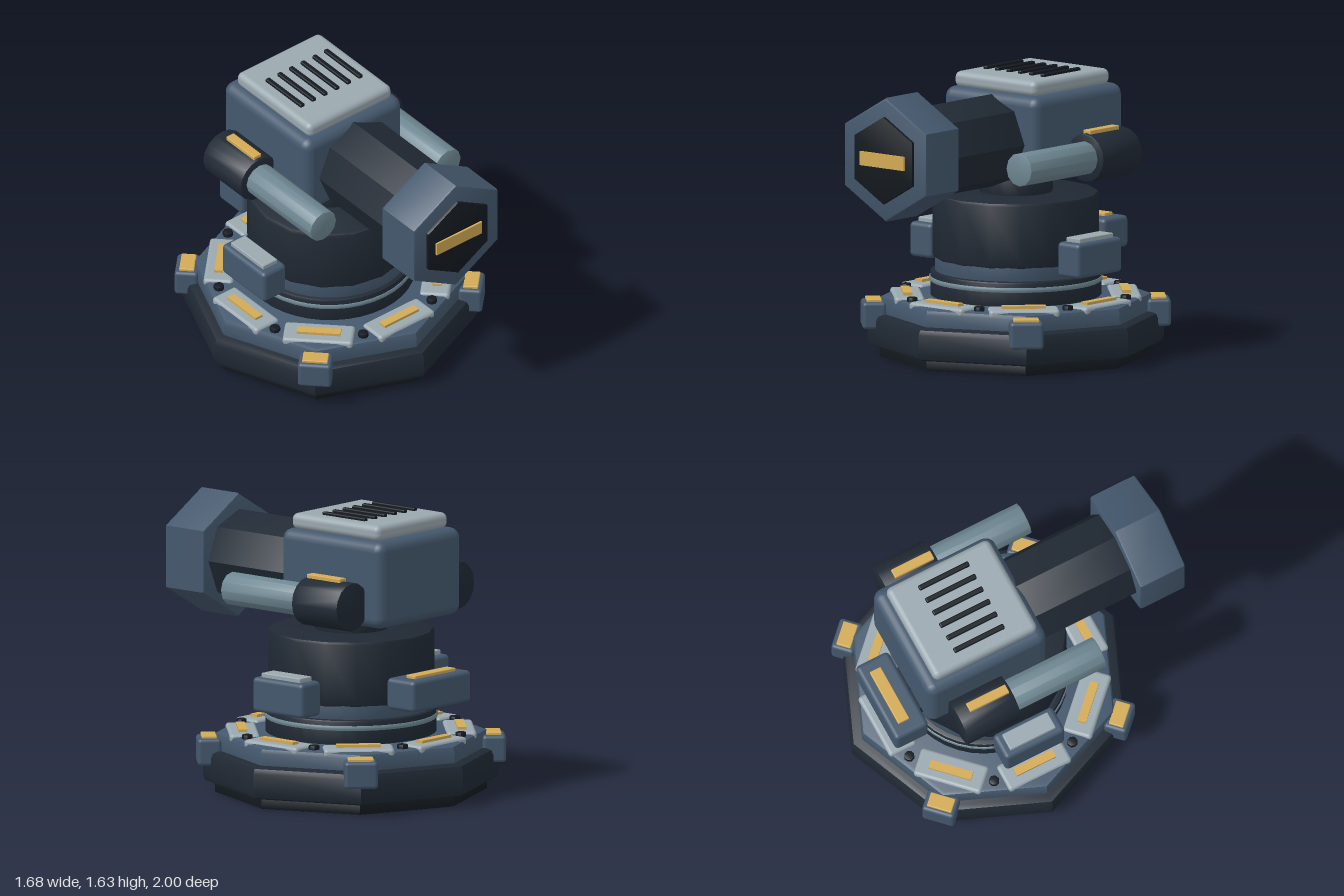
import * as THREE from 'three';
import { toCreasedNormals } from 'three/addons/utils/BufferGeometryUtils.js';
import { RoundedBoxGeometry } from 'three/addons/geometries/RoundedBoxGeometry.js';

const paint = (color) => new THREE.MeshStandardMaterial({ color });
const dark = paint(0x202934);
const black = paint(0x141a20);
const blue = paint(0x44586d);
const steel = paint(0x6e8792);
const pale = paint(0x9aa8af);
const gold = paint(0xd2aa55);

function add(parent, name, geometry, material, x = 0, y = 0, z = 0) {
  const mesh = new THREE.Mesh(geometry, material);
  mesh.name = name;
  mesh.position.set(x, y, z);
  parent.add(mesh);
  return mesh;
}

// Upright prism from y0 to y1 with softened rims; a corner points along +z
function prism(r, y0, y1, bevel, sides) {
  const k = bevel * 0.29;
  const profile = [
    [0, y0], [r - bevel, y0], [r - k, y0 + k], [r, y0 + bevel],
    [r, y1 - bevel], [r - k, y1 - k], [r - bevel, y1], [0, y1],
  ].map(([x, y]) => new THREE.Vector2(x, y));
  return toCreasedNormals(new THREE.LatheGeometry(profile, sides), 0.62);
}

// The same prism lying along z
const lying = (r, z0, z1, bevel, sides) => prism(r, z0, z1, bevel, sides).rotateX(Math.PI / 2);

const box = (w, h, d, r) => new RoundedBoxGeometry(w, h, d, 3, r);

function makeBase() {
  const base = new THREE.Group();
  base.name = 'base';
  add(base, 'foot', prism(0.77, 0, 0.08, 0.005, 8), black);
  add(base, 'skirt', prism(0.84, 0.06, 0.25, 0.04, 8), dark);
  add(base, 'deck', prism(0.775, 0.2, 0.35, 0.03, 8), blue);

  // Deck plates with inlays, and bolts between them
  for (let i = 0; i < 8; i++) {
    const sector = new THREE.Group();
    sector.name = 'deckSector';
    sector.rotation.y = (i * Math.PI) / 4;
    add(sector, 'deckPlate', box(0.4, 0.05, 0.17, 0.02), pale, 0, 0.34, 0.615);
    add(sector, 'plateInlay', new THREE.BoxGeometry(0.25, 0.025, 0.05), gold, 0, 0.368, 0.62);
    const a = Math.PI / 8;
    add(sector, 'bolt', prism(0.03, 0.34, 0.375, 0.004, 8), black, Math.sin(a) * 0.655, 0, Math.cos(a) * 0.655);
    base.add(sector);
  }

  // Clamps on the diagonal corners
  for (let i = 0; i < 4; i++) {
    const clamp = new THREE.Group();
    clamp.name = 'cornerClamp';
    clamp.rotation.y = Math.PI / 4 + (i * Math.PI) / 2;
    add(clamp, 'clampBody', box(0.19, 0.155, 0.135, 0.02), blue, 0, 0.243, 0.807);
    add(clamp, 'clampInlay', box(0.145, 0.025, 0.085, 0.005), gold, 0, 0.323, 0.807);
    base.add(clamp);
  }
  return base;
}

function makeTurntable() {
  const table = new THREE.Group();
  table.name = 'turntable';
  add(table, 'lowerRing', prism(0.485, 0.34, 0.49, 0.012, 40), dark);
  add(table, 'bearingRing', prism(0.492, 0.428, 0.46, 0.012, 40), steel);
  add(table, 'collar', prism(0.458, 0.48, 0.66, 0.01, 40), blue);
  add(table, 'drum', prism(0.472, 0.56, 0.94, 0.022, 16), dark);
  add(table, 'neck', prism(0.21, 0.92, 1.06, 0.01, 16), dark);

  // Equipment boxes around the drum
  for (const s of [-1, 1]) {
    add(table, 'sideBox', box(0.168, 0.2, 0.38, 0.025), blue, s * 0.553, 0.618, 0);
    add(table, 'sideBoxLid', box(0.105, 0.03, 0.29, 0.006), pale, s * 0.553, 0.728, 0);
  }
  add(table, 'rearBox', box(0.5, 0.18, 0.21, 0.025), blue, 0, 0.65, -0.585);
  add(table, 'rearBoxInlay', box(0.35, 0.025, 0.07, 0.005), gold, 0, 0.745, -0.6);
  // Bracket joining the rear box to the drum
  add(table, 'rearBracket', new THREE.BoxGeometry(0.26, 0.08, 0.1), dark, 0, 0.65, -0.45);
  return table;
}

function makeHead() {
  const head = new THREE.Group();
  head.name = 'head';
  add(head, 'housing', box(0.71, 0.5, 0.765, 0.06), blue, 0, 1.28, -0.312);
  add(head, 'roofPanel', box(0.61, 0.09, 0.66, 0.035), pale, 0, 1.57, -0.3);
  for (let i = 0; i < 6; i++) {
    add(head, 'ventSlot', box(0.03, 0.03, 0.32, 0.008), black, (i - 2.5) * 0.085, 1.617, -0.3);
  }

  // Main barrel with its hexagonal muzzle
  add(head, 'mainBarrel', lying(0.265, -0.05, 0.75, 0.005, 8), dark, 0, 1.252, 0);
  add(head, 'muzzle', lying(0.355, 0.68, 0.97, 0.015, 6), blue, 0, 1.253, 0);
  add(head, 'muzzleFace', lying(0.25, 0.94, 0.988, 0.004, 6), black, 0, 1.25, 0);
  add(head, 'muzzleInlay', new THREE.BoxGeometry(0.33, 0.08, 0.03), gold, 0, 1.25, 0.985);

  // Secondary barrels on both flanks
  for (const s of [-1, 1]) {
    const gun = new THREE.Group();
    gun.name = s > 0 ? 'leftGun' : 'rightGun';
    gun.position.set(s * 0.455, 1.165, 0);
    add(gun, 'gunBreech', lying(0.14, -0.57, -0.23, 0.01, 16), dark);
    add(gun, 'gunBarrel', lying(0.096, -0.26, 0.34, 0.008, 12), steel);
    add(gun, 'gunInlay', box(0.055, 0.03, 0.25, 0.005), gold, 0, 0.142, -0.372);
    head.add(gun);
  }
  return head;
}

export function createModel() {
  const model = new THREE.Group();
  model.name = 'turret';
  const base = makeBase();
  const turntable = makeTurntable();
  base.position.z = turntable.position.z = -0.16;
  model.add(base, turntable, makeHead());
  return model;
}
